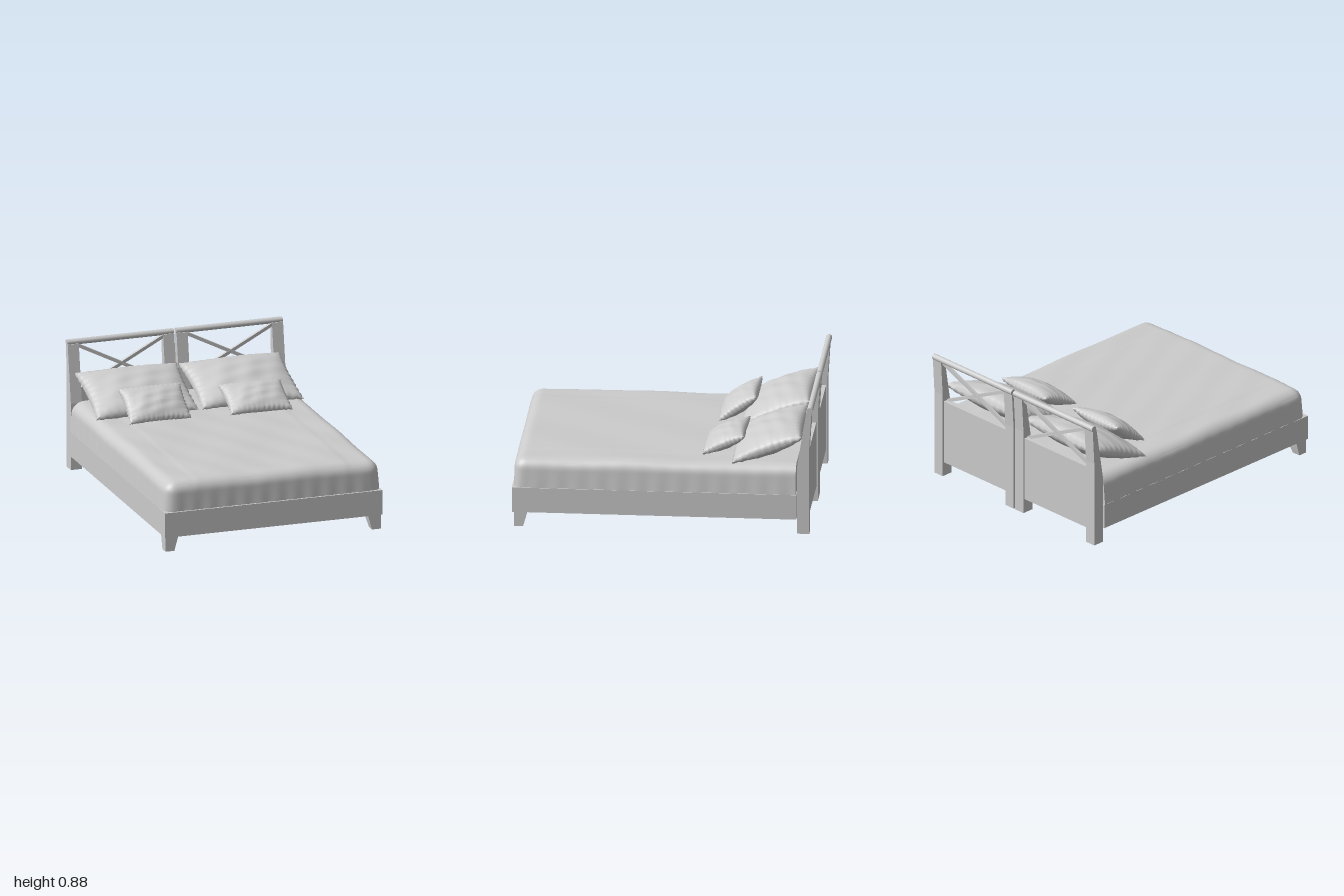
import * as THREE from 'three';
import { mergeVertices, toCreasedNormals } from 'three/addons/utils/BufferGeometryUtils.js';

const material = new THREE.MeshStandardMaterial({ color: 0xcccccc });

function add(parent, name, geometry) {
  const mesh = new THREE.Mesh(geometry, material);
  mesh.name = name;
  parent.add(mesh);
  return mesh;
}

// Box given by its minimum and maximum corners
function box(parent, name, [x0, y0, z0], [x1, y1, z1]) {
  const mesh = add(parent, name, new THREE.BoxGeometry(x1 - x0, y1 - y0, z1 - z0));
  mesh.position.set((x0 + x1) / 2, (y0 + y1) / 2, (z0 + z1) / 2);
  return mesh;
}

// Move every vertex of a geometry by a rule, then rebuild its normals
function reshape(geometry, rule, crease) {
  geometry.deleteAttribute('normal');
  geometry.deleteAttribute('uv');
  const g = mergeVertices(geometry, 1e-5);
  const pos = g.attributes.position;
  const p = new THREE.Vector3();
  for (let i = 0; i < pos.count; i++) {
    rule(p.fromBufferAttribute(pos, i));
    pos.setXYZ(i, p.x, p.y, p.z);
  }
  g.computeVertexNormals();
  return crease ? toCreasedNormals(g, crease) : g;
}

// Bed frame: a rectangular ring of rails, open below
function bedFrame(bed) {
  const rect = (T, x, z0, z1) => {
    const s = new T();
    s.moveTo(-x, z0).lineTo(x, z0).lineTo(x, z1).lineTo(-x, z1).closePath();
    return s;
  };
  const outline = rect(THREE.Shape, 0.762, -0.998, 0.89);
  outline.holes.push(rect(THREE.Path, 0.728, -0.964, 0.856));
  const rails = new THREE.ExtrudeGeometry(outline, { depth: 0.17, bevelEnabled: false });
  rails.rotateX(-Math.PI / 2);
  add(bed, 'sideRails', rails).position.y = 0.1;

  // Tapered front legs, square on the two outer faces
  for (const side of [-1, 1]) {
    const leg = new THREE.BoxGeometry(0.09, 0.23, 0.09, 1, 2, 1);
    const geometry = reshape(leg, (p) => {
      const low = p.y < -0.1;
      const size = low ? 0.062 : 0.09;
      const y = low ? 0 : p.y > 0.1 ? 0.23 : 0.1;
      const x = p.x * side > 0 ? 0.755 : 0.755 - size;
      p.set(side * x, y, p.z > 0 ? 0.985 : 0.985 - size);
    }, 0.3);
    add(bed, side > 0 ? 'frontLegLeft' : 'frontLegRight', geometry);
  }
}

// One half of the headboard; side is +1 for left and -1 for right
function headboard(bed, side) {
  const half = new THREE.Group();
  half.name = side > 0 ? 'headboardLeft' : 'headboardRight';
  bed.add(half);

  // Posts lean back on their front face above the mattress
  const profile = new THREE.Shape([
    [-0.975, 0], [-0.893, 0], [-0.893, 0.46], [-0.955, 0.85], [-0.99, 0.85], [-0.975, 0.6],
  ].map(([z, y]) => new THREE.Vector2(z, y)));
  for (const x of [0.047, 0.716]) {
    const post = new THREE.ExtrudeGeometry(profile, { depth: 0.078, bevelEnabled: false });
    post.rotateY(-Math.PI / 2).translate(0.039, 0, 0);
    add(half, x < 0.1 ? 'innerPost' : 'outerPost', post).position.x = side * x;
  }

  // Round top rail
  const rail = new THREE.CylinderGeometry(0.02, 0.02, 0.747, 24);
  rail.rotateZ(Math.PI / 2);
  add(half, 'topRail', rail).position.set(side * 0.3815, 0.86, -0.979);

  box(half, 'panel', [side * 0.382 - 0.3, 0.1, -0.965], [side * 0.382 + 0.3, 0.55, -0.925]);

  // Crossed braces
  for (const flip of [-1, 1]) {
    const a = new THREE.Vector3(side * 0.382 - flip * 0.298, 0.838, -0.966);
    const b = new THREE.Vector3(side * 0.382 + flip * 0.298, 0.542, -0.926);
    const brace = add(half, 'crossBrace', new THREE.BoxGeometry(0.02, 0.022, a.distanceTo(b)));
    brace.position.copy(a).lerp(b, 0.5);
    brace.lookAt(b);
  }
}

// Blanket-covered mattress: a box rounded at its top, sides and foot
function mattress(bed) {
  const r = 0.075, top = 0.473, bottom = 0.272, halfW = 0.747, foot = 0.985, head = -0.885;
  const g = new THREE.BoxGeometry(2 * halfW, top - bottom, foot - head, 74, 14, 92);
  g.translate(0, (top + bottom) / 2, (foot + head) / 2);
  const inner = new THREE.Vector3(), d = new THREE.Vector3();
  const cover = reshape(g, (p) => {
    inner.set(
      THREE.MathUtils.clamp(p.x, r - halfW, halfW - r),
      Math.min(p.y, top - r),
      Math.min(p.z, foot - r));
    d.subVectors(p, inner);
    if (d.length() > r) p.copy(inner).addScaledVector(d.normalize(), r);
    const h = (p.y - bottom) / (top - bottom);
    // The sides flare and ripple towards the hem
    const flare = (1 - h) * 0.016;
    if (Math.abs(p.x) > halfW - r) {
      p.x += Math.sign(p.x) * (flare + 0.002 * Math.sin(p.z * 47) * (1 - h));
    }
    if (p.z > foot - r) p.z += (1 - h) * (0.006 + 0.002 * Math.sin(p.x * 53));
    // Soft creases and shallow seams on top
    p.y += h * (0.003 * Math.sin(p.x * 9 + p.z * 6) + 0.0015 * Math.sin(p.x * 23 - p.z * 11));
    if (Math.abs(p.x) > 0.535) p.y -= 0.003 * h;
  }, 0.9);
  add(bed, 'blanket', cover);
  box(bed, 'mattressBase', [-0.727, 0.25, -0.885], [0.727, 0.3, 0.963]);
}

// Stuffed pillow with a thin rippled border
function pillow(bed, name, w, l, thick, [x, y, z], tilt, turn, roll = 0) {
  const g = reshape(new THREE.BoxGeometry(2, 2, 2, 44, 1, 32), (p) => {
    const u = p.x, v = p.z, s = Math.sign(p.y);
    const edge = (1 - u * u) * (1 - v * v);
    const puff = Math.pow(Math.max(edge, 0), 0.5);
    const crease = 0.04 * Math.sin(u * 11 + v * 3) * (1 - v * v) + 0.03 * Math.sin(v * 13 + u * 4);
    const ripple = 0.004 * (Math.sin(u * 38) * v ** 8 + Math.sin(v * 31) * u ** 8);
    p.set(
      u * w / 2 * (1 - 0.035 * (1 - v * v)) + 0.003 * Math.sin(v * 33) * u ** 9,
      s * (0.003 + thick / 2 * puff * (1 + crease)) + ripple,
      v * l / 2 * (1 - 0.04 * (1 - u * u)) + 0.003 * Math.sin(u * 41) * v ** 9);
  }, 1.3);
  const mesh = add(bed, name, g);
  mesh.position.set(x, y, z);
  mesh.rotation.set(tilt, turn, roll, 'YXZ');
}

export function createModel() {
  const bed = new THREE.Group();
  bed.name = 'doubleBed';
  bedFrame(bed);
  for (const side of [1, -1]) headboard(bed, side);
  mattress(bed);
  pillow(bed, 'largePillowRight', 0.71, 0.495, 0.175, [-0.365, 0.565, -0.69], 0.38, -0.015);
  pillow(bed, 'largePillowLeft', 0.71, 0.495, 0.175, [0.365, 0.562, -0.685], 0.37, 0.015);
  pillow(bed, 'smallPillowRight', 0.43, 0.3, 0.12, [-0.33, 0.556, -0.428], 0.6, -0.01);
  pillow(bed, 'smallPillowLeft', 0.43, 0.3, 0.12, [0.362, 0.54, -0.393], 0.42, -0.015);
  return bed;
}
